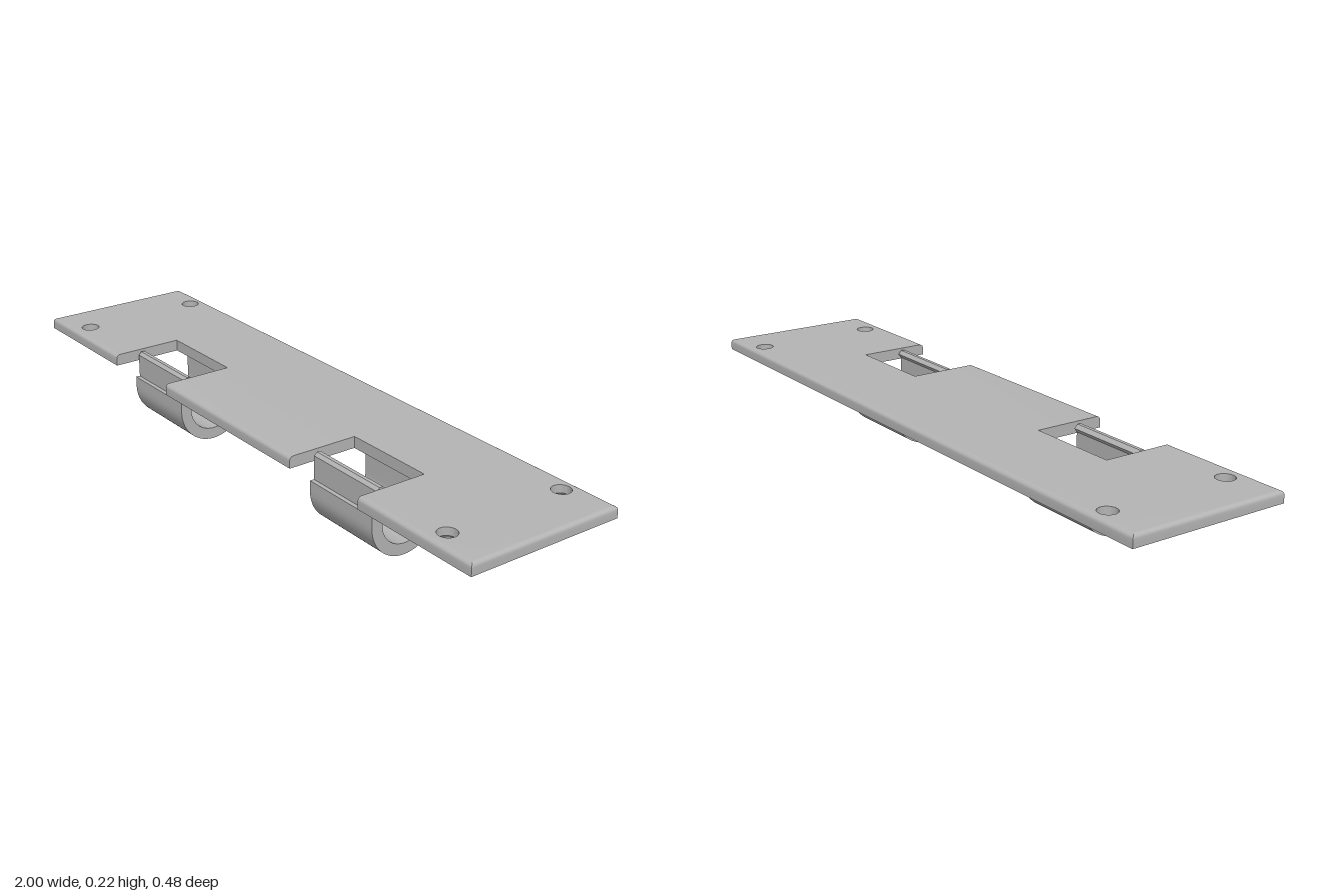
import * as THREE from 'three';
import { toCreasedNormals } from 'three/addons/utils/BufferGeometryUtils.js';

const grey = new THREE.MeshStandardMaterial({ color: 0xb4b4b4 });
grey.name = 'grey';

const BOTTOM = 0.188, THICK = 0.034, HALF_X = 1, HALF_Z = 0.241, FILLET = 0.012;
const CLIP_X = [-0.45, 0.445];
const HOLES = [[-0.855, -0.193], [0.855, -0.193], [-0.855, 0.185], [0.855, 0.185]];
const HOLE_R = 0.027, SINK_R = 0.038;

// Plate with two front notches, countersunk screw holes and rounded upper outer edges
function plateGeometry() {
  const shape = new THREE.Shape();
  shape.moveTo(-HALF_X, -HALF_Z);
  for (const x of CLIP_X) {
    shape.lineTo(x - 0.142, -HALF_Z);
    shape.lineTo(x - 0.142, -0.025);
    shape.lineTo(x + 0.142, -0.025);
    shape.lineTo(x + 0.142, -HALF_Z);
  }
  shape.lineTo(HALF_X, -HALF_Z);
  shape.lineTo(HALF_X, HALF_Z);
  shape.lineTo(-HALF_X, HALF_Z);
  shape.closePath();
  for (const [x, z] of HOLES) {
    shape.holes.push(new THREE.Path().absarc(x, -z, HOLE_R, 0, Math.PI * 2, true));
  }

  // Layers: underside, end of countersink, then the fillet arc
  const layers = [{ y: 0, inset: 0, sink: SINK_R / HOLE_R }, { y: 0.011, inset: 0, sink: 1 }];
  for (let i = 0; i <= 5; i++) {
    const a = (i / 5) * Math.PI / 2;
    layers.push({
      y: THICK - FILLET + FILLET * Math.sin(a),
      inset: FILLET * (1 - Math.cos(a)),
      sink: 1,
    });
  }
  const steps = layers.length - 1;
  const geo = new THREE.ExtrudeGeometry(shape, { depth: steps, steps, bevelEnabled: false, curveSegments: 28 });
  geo.rotateX(-Math.PI / 2);

  const p = geo.attributes.position;
  for (let i = 0; i < p.count; i++) {
    const { y, inset, sink } = layers[Math.round(p.getY(i))];
    let x = p.getX(i), z = p.getZ(i);
    for (const [hx, hz] of HOLES) {
      if (Math.hypot(x - hx, z - hz) < HOLE_R * 1.1) {
        x = hx + (x - hx) * sink;
        z = hz + (z - hz) * sink;
      }
    }
    x = THREE.MathUtils.clamp(x, inset - HALF_X, HALF_X - inset);
    z = THREE.MathUtils.clamp(z, inset - HALF_Z, HALF_Z - inset);
    p.setXYZ(i, x, BOTTOM + y, z);
  }
  return toCreasedNormals(geo, 0.45);
}

// U-shaped clip, drawn in (z, y) and extruded along x
function clipGeometry() {
  const cz = 0.072, cy = 0.111, outer = 0.111, inner = 0.077, width = 0.26;
  const s = new THREE.Shape();
  s.moveTo(cz - outer, BOTTOM + 0.002);
  s.lineTo(cz - outer, cy);
  s.absarc(cz, cy, outer, Math.PI, Math.PI * 2, false);
  // thumb step and free front leg with a small catch
  s.lineTo(cz + outer, 0.141);
  s.lineTo(0.17, 0.141);
  s.lineTo(0.17, 0.21);
  s.lineTo(0.161, 0.219);
  s.lineTo(0.15, 0.219);
  s.lineTo(0.14, 0.208);
  s.lineTo(cz + inner, 0.196);
  s.lineTo(cz + inner, cy);
  s.absarc(cz, cy, inner, 0, -Math.PI, true);
  s.lineTo(cz - inner, BOTTOM + 0.002);
  s.closePath();
  const geo = new THREE.ExtrudeGeometry(s, { depth: width, bevelEnabled: false, curveSegments: 32 });
  geo.rotateY(-Math.PI / 2).translate(width / 2, 0, 0);
  return toCreasedNormals(geo, 0.45);
}

export function createModel() {
  const model = new THREE.Group();
  model.name = 'clipPlate';

  const plate = new THREE.Mesh(plateGeometry(), grey);
  plate.name = 'mountingPlate';
  model.add(plate);

  const clip = clipGeometry();
  CLIP_X.forEach((x, i) => {
    const mesh = new THREE.Mesh(clip, grey);
    mesh.name = i ? 'leftClip' : 'rightClip';
    mesh.position.x = x;
    model.add(mesh);
  });
  return model;
}
